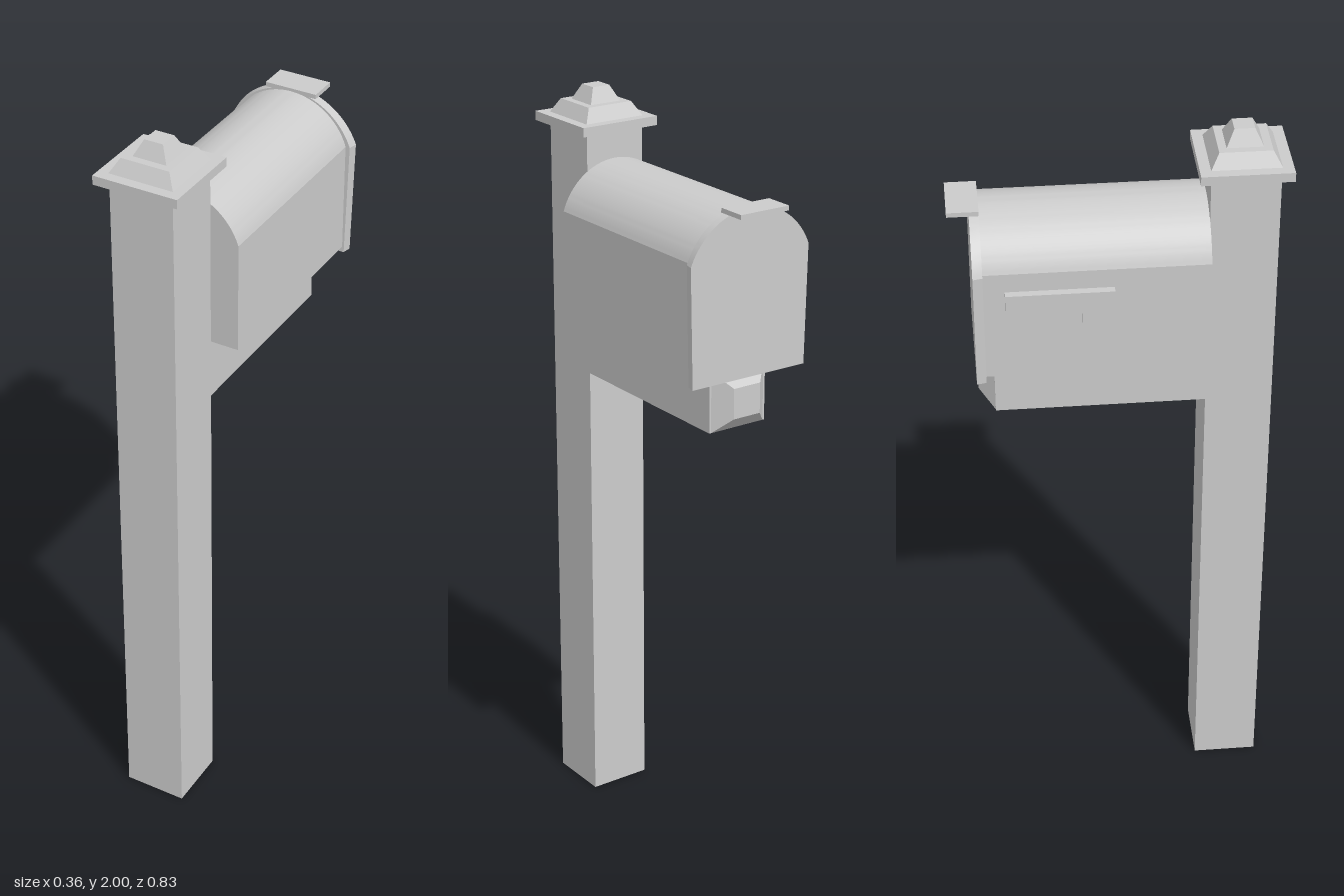
import * as THREE from 'three';
import { toCreasedNormals } from 'three/addons/utils/BufferGeometryUtils.js';

const material = new THREE.MeshStandardMaterial({ color: 0xcccccc });
const POST_Z = 0.302;

export function createModel() {
  const model = new THREE.Group();

  function add(name, geometry, x = 0, y = 0, z = 0, parent = model) {
    const mesh = new THREE.Mesh(geometry, material);
    mesh.name = name;
    mesh.position.set(x, y, z);
    parent.add(mesh);
    return mesh;
  }

  // Square frustum standing on y = 0, given half widths
  function frustum(bottom, top, height) {
    const g = new THREE.CylinderGeometry(top * Math.SQRT2, bottom * Math.SQRT2, height, 4, 1).toNonIndexed();
    g.rotateY(Math.PI / 4).translate(0, height / 2, 0);
    g.computeVertexNormals();
    return g;
  }

  // Straight sided outline closed by a shallow circular arch
  function archShape(bottomHalf, shoulderHalf, bottom, shoulder, top) {
    const rise = top - shoulder;
    const r = (shoulderHalf ** 2 + rise ** 2) / (2 * rise);
    const cy = top - r;
    const a = Math.atan2(shoulder - cy, shoulderHalf);
    const s = new THREE.Shape();
    s.moveTo(-bottomHalf, bottom);
    s.lineTo(bottomHalf, bottom);
    s.lineTo(shoulderHalf, shoulder);
    s.absarc(0, cy, r, a, Math.PI - a, false);
    s.closePath();
    return s;
  }

  function extrude(shape, depth) {
    return new THREE.ExtrudeGeometry(shape, { depth, bevelEnabled: false, curveSegments: 24 });
  }

  // Post
  add('post', new THREE.BoxGeometry(0.17, 1.9, 0.17), 0, 0.95, POST_Z);

  // Stepped post cap
  const cap = new THREE.Group();
  cap.name = 'postCap';
  cap.position.set(0, 1.9, POST_Z);
  model.add(cap);
  add('capPlate', new THREE.BoxGeometry(0.226, 0.024, 0.226), 0, 0.012, 0, cap);
  add('capLowerStep', frustum(0.086, 0.065, 0.036), 0, 0.024, 0, cap);
  add('capFinial', frustum(0.045, 0.025, 0.04), 0, 0.06, 0, cap);

  // Support arm with a chamfered end
  add('arm', new THREE.BoxGeometry(0.17, 0.16, 0.535), 0, 1.335, -0.0475);
  const armEnd = add('armEnd', frustum(0.08, 0.04, 0.04), 0, 1.335, -0.315);
  armEnd.rotation.x = -Math.PI / 2;

  // Arched box body
  const body = extrude(archShape(0.16, 0.16, 1.415, 1.71, 1.826), 0.555);
  add('boxBody', toCreasedNormals(body, 0.2), 0, 0, -0.34);

  // Door: flares slightly toward its outer face
  const door = extrude(archShape(0.17, 0.177, 1.4, 1.71, 1.83), 0.024);
  const p = door.attributes.position;
  for (let i = 0; i < p.count; i++) {
    if (p.getZ(i) > 0.01) p.setX(i, p.getX(i) * 0.97);
  }
  door.computeVertexNormals();
  add('door', toCreasedNormals(door, 0.2), 0, 0, -0.361);

  // Pull tab on top of the door
  add('doorTab', new THREE.BoxGeometry(0.143, 0.012, 0.078), 0, 1.828, -0.376);

  // Signal flag with its small pivot, on one side only
  const flag = new THREE.Group();
  flag.name = 'flag';
  model.add(flag);
  add('flagArm', new THREE.BoxGeometry(0.02, 0.058, 0.265), -0.17, 1.631, -0.1525, flag);
  add('flagPivot', new THREE.BoxGeometry(0.02, 0.04, 0.03), -0.17, 1.587, -0.085, flag);

  return model;
}
